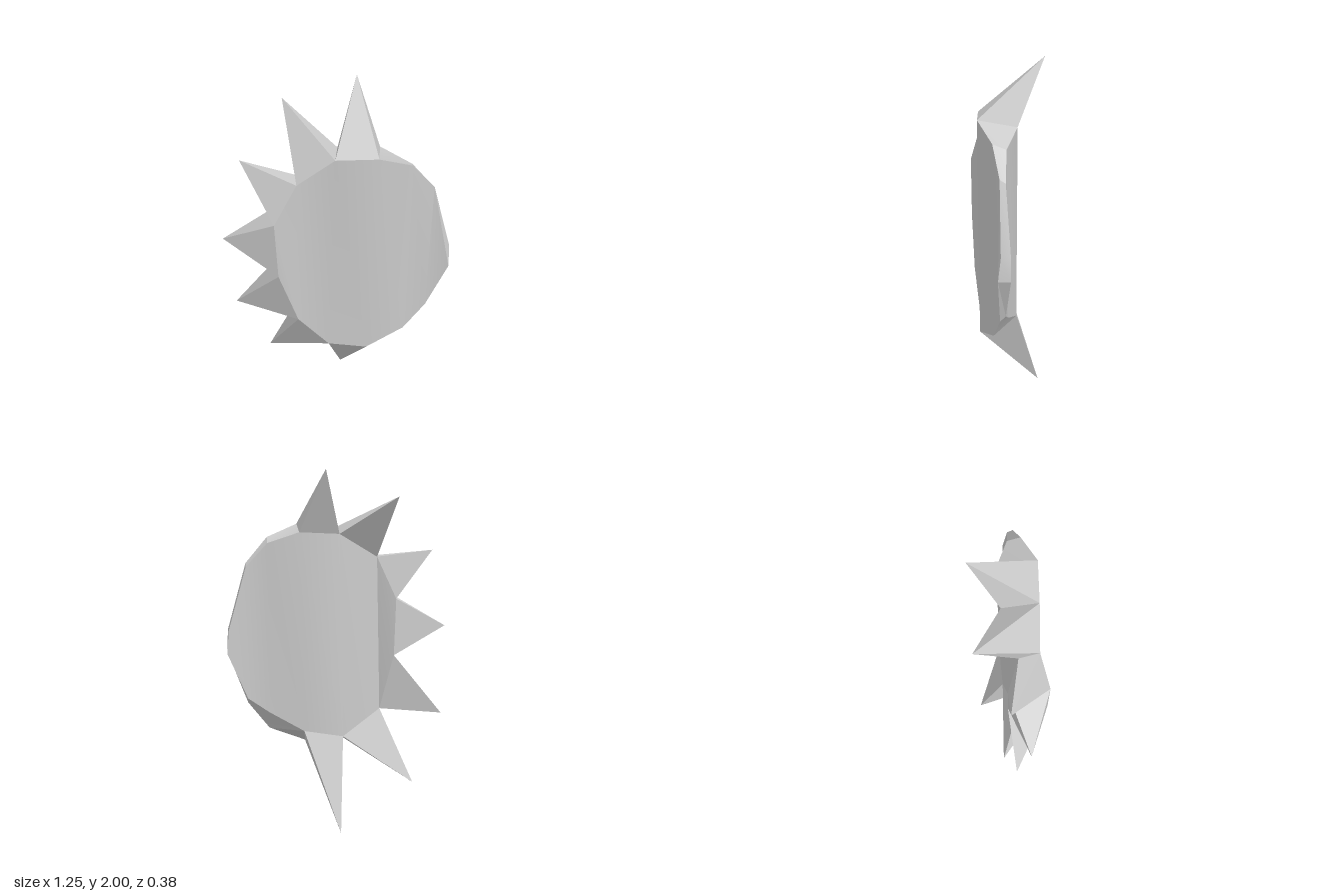
import * as THREE from 'three';
import { toCreasedNormals } from 'three/addons/utils/BufferGeometryUtils.js';

// Shield columns from the spiked edge to the plain edge: [x, y, z] corners
const frontTop = [[-0.32, 1.31, 0.19], [-0.2, 1.53, 0.14], [0, 1.69, 0.15], [0.22, 1.71, 0.16],
  [0.39, 1.64, 0.09], [0.51, 1.5, 0.06], [0.615, 1.13, 0.06]];
const frontBottom = [[-0.31, 0.97, 0.19], [-0.21, 0.66, 0.18], [-0.04, 0.46, 0.155], [0.18, 0.45, 0.16],
  [0.39, 0.55, 0.09], [0.51, 0.71, 0.06], [0.62, 1.0, 0.075]];
const backTop = [[-0.32, 1.3, -0.03], [-0.22, 1.53, 0.03], [0, 1.66, -0.04], [0.22, 1.67, -0.045],
  [0.39, 1.61, 0.02], [0.51, 1.48, 0.03], [0.61, 1.13, 0.01]];
const backBottom = [[-0.31, 0.98, -0.03], [-0.24, 0.66, 0.03], [-0.02, 0.52, -0.04], [0.2, 0.56, -0.045],
  [0.39, 0.66, 0.01], [0.51, 0.74, 0.03], [0.62, 1.0, 0.01]];

// Spike tips, keyed by the rim edge they grow from
const tips = {
  0: [-0.52, 1.57, -0.03], 1: [-0.3, 1.86, -0.19], 2: [0.09, 2, -0.19],
  10: [0.01, 0, -0.19], 11: [-0.42, 0.24, -0.065], 12: [-0.595, 0.63, 0], 13: [-0.625, 1.13, 0.07],
};

const quad = (a, b, c, d) => [a, b, c, a, c, d];

function makeMesh(name, corners, crease) {
  const geometry = new THREE.BufferGeometry();
  geometry.setAttribute('position', new THREE.Float32BufferAttribute(corners.flat(), 3));
  const material = new THREE.MeshStandardMaterial({ color: 0xcccccc });
  const mesh = new THREE.Mesh(toCreasedNormals(geometry, crease), material);
  mesh.name = name;
  return mesh;
}

export function createModel() {
  const group = new THREE.Group();
  group.name = 'spikedShield';

  // Front and back plates, made of vertical strips
  const plates = [];
  for (let i = 0; i < frontTop.length - 1; i++) {
    plates.push(...quad(frontTop[i], frontBottom[i], frontBottom[i + 1], frontTop[i + 1]));
    plates.push(...quad(backTop[i + 1], backBottom[i + 1], backBottom[i], backTop[i]));
  }
  group.add(makeMesh('shieldPlates', plates, 0.5));

  // Rim: plain edges are bridged, the others grow a four-sided spike
  const front = [...frontTop, ...[...frontBottom].reverse()];
  const back = [...backTop, ...[...backBottom].reverse()];
  const rim = [];
  front.forEach((a, i) => {
    const j = (i + 1) % front.length;
    const base = [a, front[j], back[j], back[i]];
    const tip = tips[i];
    if (!tip) {
      rim.push(...quad(...base));
      return;
    }
    const sides = base.flatMap((corner, k) => [corner, base[(k + 1) % 4], tip]);
    group.add(makeMesh('spike', sides, 0.3));
  });
  group.add(makeMesh('rim', rim, 0.3));

  return group;
}
